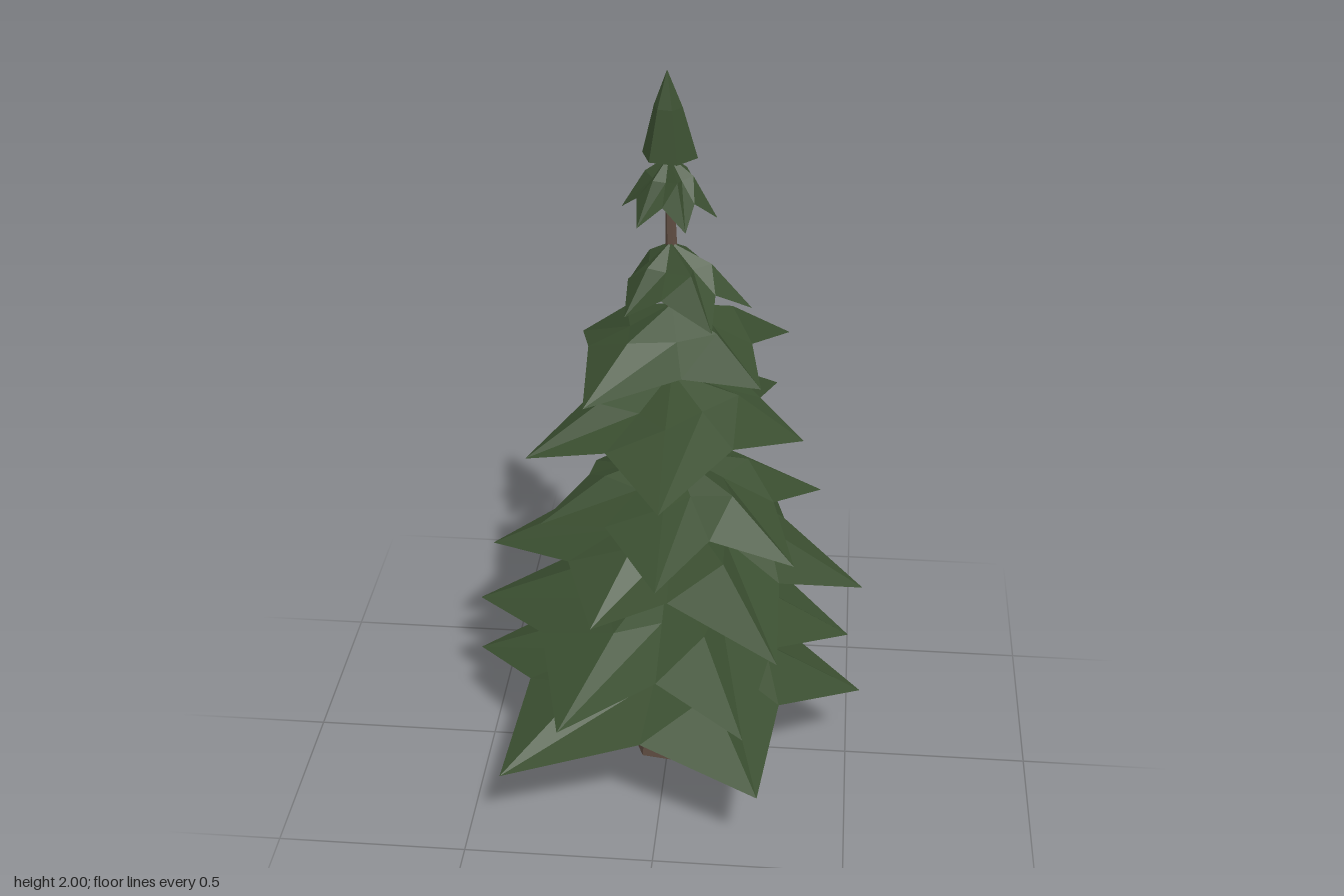
import * as THREE from 'three';

const green = new THREE.MeshStandardMaterial({ color: 0x3a4e30, flatShading: true, side: THREE.DoubleSide });
green.name = 'needle green';
const brown = new THREE.MeshStandardMaterial({ color: 0x5e4c41, flatShading: true, side: THREE.DoubleSide });
brown.name = 'bark brown';

// Faceted skin through rings of equal length, listed from top to bottom.
function loft(rings) {
  const pos = [];
  const tri = (a, b, c) => {
    const area = new THREE.Triangle(a, b, c).getArea();
    if (area > 1e-9) pos.push(...a.toArray(), ...b.toArray(), ...c.toArray());
  };
  for (let r = 0; r < rings.length - 1; r++) {
    const up = rings[r], low = rings[r + 1], n = up.length;
    for (let i = 0; i < n; i++) {
      const j = (i + 1) % n;
      tri(up[i], low[j], low[i]);
      tri(up[i], up[j], low[j]);
    }
  }
  const g = new THREE.BufferGeometry();
  g.setAttribute('position', new THREE.Float32BufferAttribute(pos, 3));
  g.computeVertexNormals();
  return g;
}

// Regular ring around a centre
function ring(x, y, z, radius, sides, turn = 0) {
  return Array.from({ length: sides }, (_, i) => {
    const a = turn + (i / sides) * Math.PI * 2;
    return new THREE.Vector3(x + Math.cos(a) * radius, y, z + Math.sin(a) * radius);
  });
}

// Drooping star of branches: tips are [x, z] in order of angle
function tierGeometry(top, bottom, tips, cx, cz) {
  const drop = top - bottom, outer = [];
  const polar = tips.map(([x, z]) => [Math.atan2(z, x), Math.hypot(x, z)]);
  polar.forEach(([a, r], i) => {
    let [b, s] = polar[(i + 1) % polar.length];
    while (b < a) b += Math.PI * 2;
    const mid = (a + b) / 2, notch = (r + s) * 0.335;
    outer.push(new THREE.Vector3(Math.cos(a) * r, bottom, Math.sin(a) * r));
    outer.push(new THREE.Vector3(Math.cos(mid) * notch, top - drop * 0.68, Math.sin(mid) * notch));
  });
  const apex = outer.map(() => new THREE.Vector3(cx, top, cz));
  const bend = outer.map((p, i) => {
    const q = p.clone().lerp(apex[i], 0.5);
    q.y = top - drop * (i % 2 ? 0.36 : 0.31);
    return q;
  });
  return loft([apex, bend, outer]);
}

// Tiers from the ground up: apex height, tip height, tips, apex x and z
const TIERS = [
  [0.44, 0.24, [[0.53, 0.03], [0.27, 0.51], [-0.4, 0.48], [-0.54, -0.08], [-0.2, -0.53], [0.25, -0.44]], 0, 0.02],
  [0.625, 0.425, [[0.49, 0.03], [0.23, 0.51], [-0.24, 0.52], [-0.53, -0.06], [-0.23, -0.46], [0.255, -0.455]], 0, 0.02],
  [0.84, 0.635, [[0.52, 0.11], [0.31, 0.47], [-0.17, 0.36], [-0.48, -0.02], [-0.18, -0.43], [0.27, -0.34]], 0.01, 0.02],
  [0.975, 0.79, [[0.4, -0.12], [0.34, 0.26], [0.0, 0.41], [-0.33, 0.12], [-0.22, -0.22], [0.08, -0.35]], 0.01, 0.02],
  [1.205, 1.025, [[0.35, 0.03], [0.01, 0.42], [-0.35, 0.18], [-0.23, -0.17], [-0.08, -0.29], [0.27, -0.28]], 0.01, 0.02],
  [1.4, 1.22, [[0.24, 0.12], [-0.19, 0.26], [-0.24, -0.16], [0.04, -0.28], [0.3, -0.2]], 0.01, 0.02],
  [1.565, 1.405, [[0.21, 0.04], [0.12, 0.19], [-0.1, 0.12], [-0.11, -0.1], [0.07, -0.15]], 0.005, 0.015],
  [1.785, 1.635, [[0.12, 0.02], [0.05, 0.12], [-0.07, 0.1], [-0.12, -0.03], [-0.03, -0.11], [0.08, -0.09]], 0, 0],
];

export function createModel() {
  const tree = new THREE.Group();
  tree.name = 'pineTree';
  const add = (name, geometry, material) => {
    const mesh = new THREE.Mesh(geometry, material);
    mesh.name = name;
    tree.add(mesh);
  };

  // Tapered six-sided trunk, slightly crooked, closed underneath
  const levels = [
    [0.0, 1.8, 0.0, 0.008], [0.008, 1.5, 0.01, 0.016], [0.018, 1.1, 0.018, 0.026],
    [0.015, 0.75, 0.018, 0.036], [0.0, 0.42, 0.01, 0.054], [-0.012, 0, -0.003, 0.09], [-0.012, 0, -0.003, 0],
  ];
  add('trunk', loft(levels.map(([x, y, z, r]) => ring(x, y, z, r, 6, 0.15))), brown);

  // Branch tiers
  TIERS.forEach(([top, bottom, tips, cx, cz], i) =>
    add('branchTier' + (i + 1), tierGeometry(top, bottom, tips, cx, cz), green));

  // Pointed crown
  add('crown', loft([
    ring(-0.005, 2, -0.003, 0, 6), ring(-0.002, 1.91, -0.002, 0.036, 6, 0.2), ring(0.002, 1.785, -0.003, 0.07, 6, 0.2),
  ]), green);
  return tree;
}
